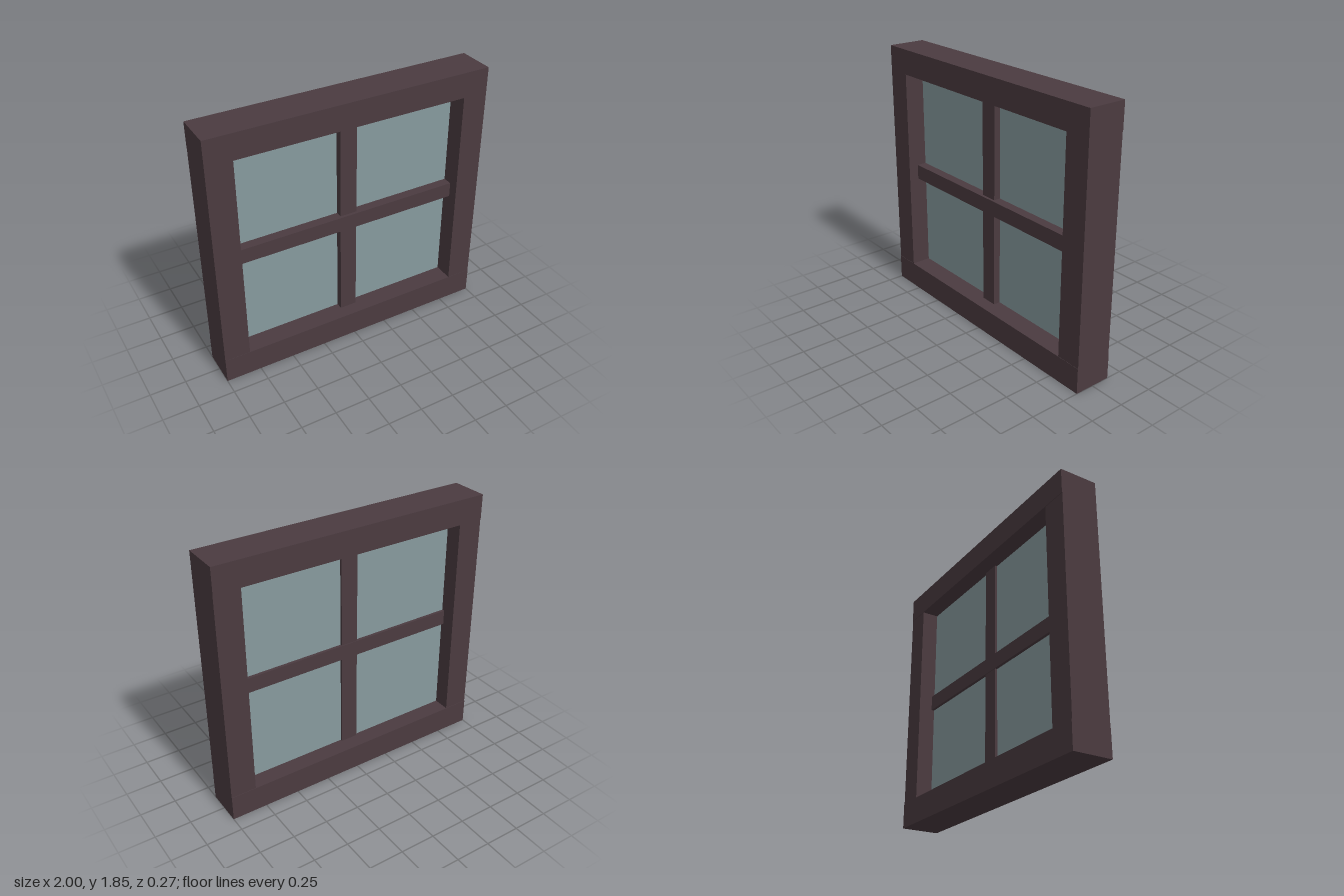
import * as THREE from 'three';

export function createModel() {
  const model = new THREE.Group();
  model.name = 'window';

  const wood = new THREE.MeshStandardMaterial({ color: 0x4b3b40 });
  wood.name = 'dark wood';
  const glass = new THREE.MeshStandardMaterial({ color: 0x879a9e });
  glass.name = 'grey blue glass';

  // Box given by its extents along each axis
  function addBox(name, material, [x0, x1], [y0, y1], [z0, z1]) {
    const mesh = new THREE.Mesh(new THREE.BoxGeometry(x1 - x0, y1 - y0, z1 - z0), material);
    mesh.position.set((x0 + x1) / 2, (y0 + y1) / 2, (z0 + z1) / 2);
    mesh.name = name;
    model.add(mesh);
  }

  const height = 1.853;
  const sill = 0.183;  // top of the bottom rail
  const head = 1.675;  // underside of the top rail
  const inner = 0.82;  // half width of the opening

  // Outer frame: full-width rails with slightly shallower stiles between them
  addBox('bottomRail', wood, [-1, 1], [0, sill], [-0.136, 0.136]);
  addBox('topRail', wood, [-1, 1], [head, height], [-0.136, 0.134]);
  addBox('leftStile', wood, [inner, 1], [sill, head], [-0.133, 0.134]);
  addBox('rightStile', wood, [-1, -inner], [sill, head], [-0.133, 0.134]);

  // Glazing bars: the crossbar stands proud of the upright
  addBox('crossbar', wood, [-inner, inner], [0.872, 0.98], [-0.034, 0.062]);
  addBox('uprightBar', wood, [-0.062, 0.06], [sill, head], [-0.029, 0.042]);

  // Single pane behind the bars
  addBox('glassPane', glass, [-inner, inner], [sill, head], [-0.013, -0.007]);

  return model;
}
